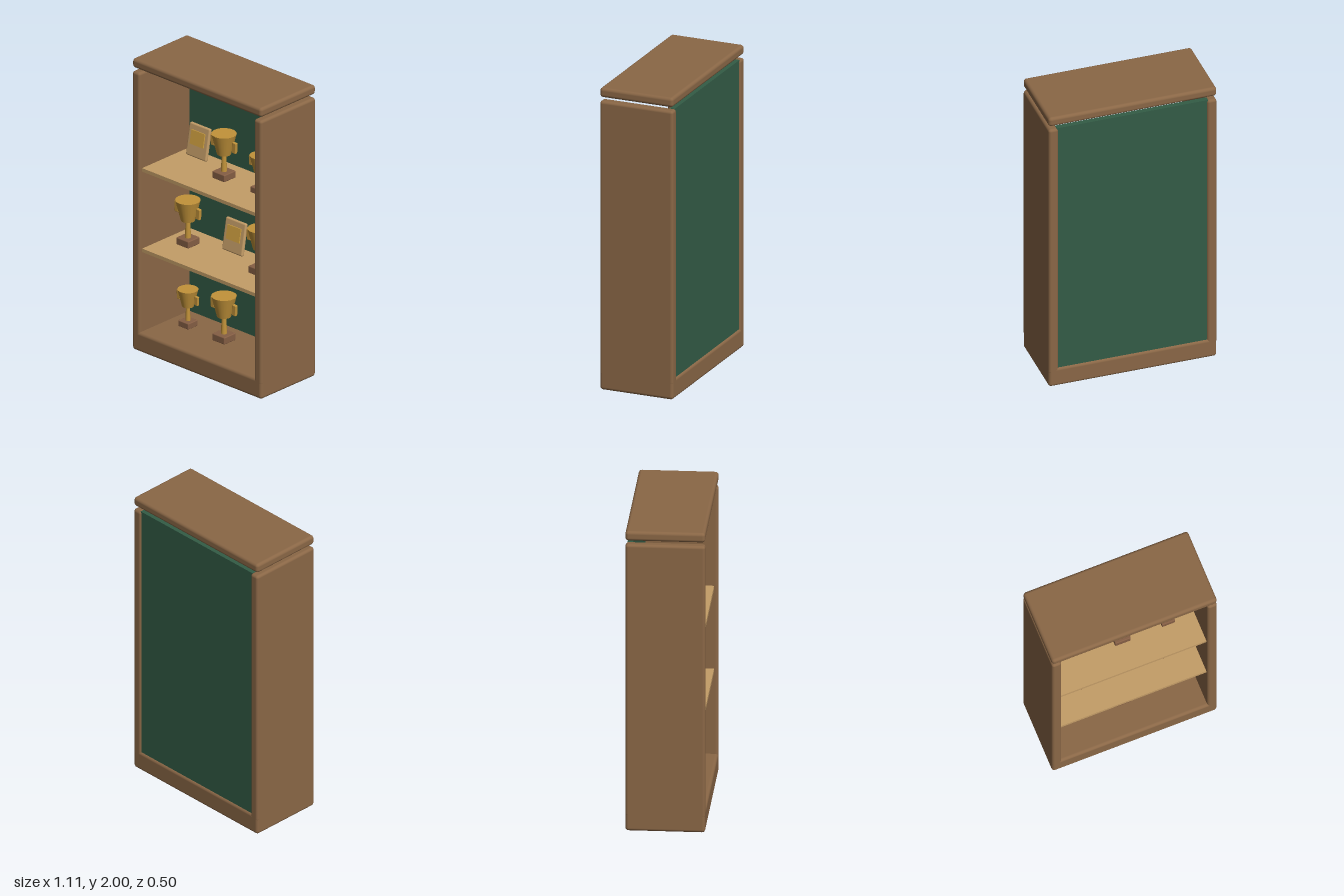
import * as THREE from 'three';
import { RoundedBoxGeometry } from 'three/addons/geometries/RoundedBoxGeometry.js';

const mat = (name, color) => new THREE.MeshStandardMaterial({ name, color });

export function createModel() {
  const wood = mat('cabinet wood', 0x8a6746);
  const plinthWood = mat('plinth wood', 0x855e44);
  const green = mat('green backing', 0x335c46);
  const paleWood = mat('pale wood', 0xc49d67);
  const gold = mat('trophy gold', 0xc2933a);
  const plateGold = mat('plate gold', 0xcfa040);

  const model = new THREE.Group();
  model.name = 'trophyCabinet';

  function add(parent, name, geometry, material, x, y, z) {
    const mesh = new THREE.Mesh(geometry, material);
    mesh.name = name;
    mesh.position.set(x, y, z);
    parent.add(mesh);
    return mesh;
  }
  const rounded = (w, h, d, r) => new RoundedBoxGeometry(w, h, d, 3, r);
  const box = (w, h, d) => new THREE.BoxGeometry(w, h, d);

  // Cabinet carcass, with a narrow gap below the top board
  add(model, 'base', rounded(1.11, 0.133, 0.5, 0.02), wood, 0, 0.0665, 0);
  add(model, 'top', rounded(1.11, 0.063, 0.5, 0.02), wood, 0, 1.9685, 0);
  for (const side of [-1, 1]) {
    add(model, side > 0 ? 'leftSide' : 'rightSide',
      rounded(0.064, 1.82, 0.5, 0.018), wood, side * 0.523, 1.003, 0);
  }
  add(model, 'backPanel', box(1.0, 1.8, 0.035), green, 0, 1.013, -0.222);
  for (const y of [0.691, 1.244]) {
    add(model, 'shelf', box(0.985, 0.024, 0.43), paleWood, 0, y, 0.01);
  }

  // Trophy: square plinth, stem, tapered cup and two handles
  function addTrophy(x, y, scale) {
    const trophy = new THREE.Group();
    trophy.name = 'trophy';
    trophy.position.set(x, y, 0);
    trophy.scale.setScalar(scale);
    add(trophy, 'plinth', rounded(0.105, 0.048, 0.105, 0.006), plinthWood, 0, 0.024, 0);
    add(trophy, 'stem', new THREE.CylinderGeometry(0.014, 0.02, 0.12, 16), gold, 0, 0.106, 0);
    add(trophy, 'cup', new THREE.CylinderGeometry(0.08, 0.045, 0.14, 24), gold, 0, 0.235, 0);
    for (const side of [-1, 1]) {
      const handle = add(trophy, 'handle', rounded(0.032, 0.073, 0.022, 0.005),
        gold, side * 0.092, 0.234, 0);
      handle.rotation.z = -side * 0.06;
    }
    model.add(trophy);
  }

  // Award plaque leaning back, with a thin gold plate
  function addPlaque(x, y) {
    const plaque = new THREE.Group();
    plaque.name = 'plaque';
    plaque.position.set(x, y + 0.117, -0.1);
    plaque.rotation.x = -0.18;
    add(plaque, 'board', rounded(0.174, 0.215, 0.025, 0.01), paleWood, 0, 0, 0);
    add(plaque, 'plate', box(0.114, 0.093, 0.009), plateGold, 0, 0.02, 0.016);
    model.add(plaque);
  }

  // Display rows, bottom to top: L = large trophy, S = small trophy, P = plaque
  const rows = [[0.154, 'SLP'], [0.716, 'LPL'], [1.27, 'PLS']];
  for (const [y, items] of rows) {
    [...items].forEach((item, i) => {
      const x = (i - 1) * 0.31;
      if (item === 'P') addPlaque(x, y);
      else addTrophy(x, y, item === 'L' ? 1 : 0.83);
    });
  }
  return model;
}
